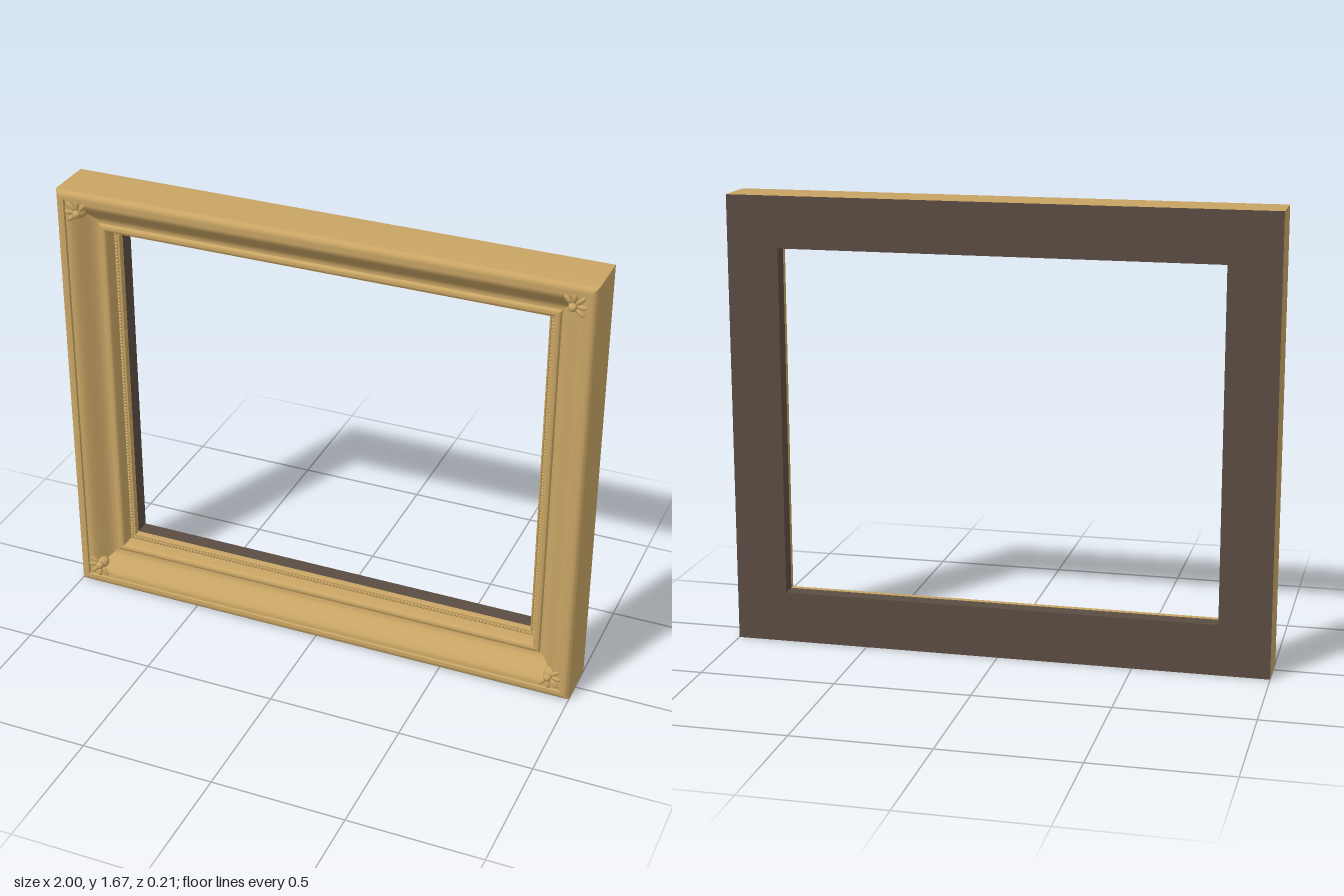
import * as THREE from 'three';
import { toCreasedNormals, mergeGeometries } from 'three/addons/utils/BufferGeometryUtils.js';

const HEIGHT = 1.675, BACK = -0.104, WIDTH = 0.19;

// Corners of the rectangle lying d inside the outer edge, counter-clockwise
const corners = (d) => [
  [-1 + d, d], [1 - d, d], [1 - d, HEIGHT - d], [-1 + d, HEIGHT - d],
];

// One mitred rail: the profile [inset, z] swept along one side of the frame
function railGeometry(profile, side) {
  const pos = [];
  const next = (side + 1) % 4;
  for (let j = 0; j < profile.length - 1; j++) {
    const [d0, z0] = profile[j], [d1, z1] = profile[j + 1];
    const p = corners(d0), q = corners(d1);
    const a = [...p[side], z0], b = [...p[next], z0];
    const c = [...q[next], z1], d = [...q[side], z1];
    pos.push(...a, ...b, ...c, ...a, ...c, ...d);
  }
  const g = new THREE.BufferGeometry();
  g.setAttribute('position', new THREE.Float32BufferAttribute(pos, 3));
  return toCreasedNormals(g, 0.6);
}

// Moulding section, from the outer back edge over the front to the opening
function mouldingProfile() {
  const pts = [[0, BACK], [0, 0.072]];
  const arc = (d, z, rd, rz, from, to, n) => {
    for (let i = 0; i <= n; i++) {
      const t = from + (to - from) * i / n;
      pts.push([d - rd * Math.cos(t), z + rz * Math.sin(t)]);
    }
  };
  arc(0.022, 0.072, 0.022, 0.022, 0.2, Math.PI / 2, 6); // rounded rim
  pts.push([0.034, 0.093], [0.036, 0.085], [0.042, 0.085]);
  for (let i = 1; i <= 16; i++) { // ogee
    const t = i / 16;
    pts.push([0.042 + 0.09 * t, 0.0525 + 0.0325 * Math.cos(Math.PI * t)]);
  }
  pts.push([0.136, 0.02], [0.137, 0.024]);
  arc(0.15, 0.024, 0.013, 0.008, 0.3, Math.PI - 0.3, 8); // inner round
  pts.push([0.165, 0.012], [0.167, -0.024], [0.183, -0.024], [0.184, -0.02],
    [0.189, -0.02], [WIDTH, -0.024], [WIDTH, -0.045]);
  return pts;
}

// Row of small beads round the opening
function beadGeometry() {
  const beads = [];
  const c = corners(0.1755);
  for (let s = 0; s < 4; s++) {
    const [x0, y0] = c[s], [x1, y1] = c[(s + 1) % 4];
    const n = Math.round(Math.hypot(x1 - x0, y1 - y0) / 0.0135);
    for (let i = 0; i < n; i++) {
      const t = i / n;
      const bead = new THREE.SphereGeometry(0.0065, 8, 6);
      bead.translate(x0 + (x1 - x0) * t, y0 + (y1 - y0) * t, -0.021);
      beads.push(bead);
    }
  }
  return mergeGeometries(beads);
}

// Corner flower, its leaves fanned about +x
function cornerOrnament(material) {
  const group = new THREE.Group();
  const add = (name, geometry) => {
    const mesh = new THREE.Mesh(geometry, material);
    mesh.name = name;
    group.add(mesh);
    return mesh;
  };
  add('ornamentBase', new THREE.SphereGeometry(0.024, 16, 10)).position.z = 0.058;
  add('ornamentBoss', new THREE.SphereGeometry(0.015, 16, 10)).position.z = 0.089;
  for (let i = -2; i <= 2; i++) {
    const leaf = new THREE.SphereGeometry(1, 12, 8);
    const length = i === 0 ? 0.024 : 0.021;
    leaf.scale(length, 0.009, 0.007);
    leaf.translate(0.01 + length, 0, 0);
    leaf.rotateY(-0.12);
    leaf.rotateZ(i * 0.72);
    leaf.translate(0, 0, 0.08);
    add('ornamentLeaf', leaf);
  }
  return group;
}

export function createModel() {
  const gold = new THREE.MeshStandardMaterial({ color: 0xc8a464 });
  gold.name = 'gold';
  const brown = new THREE.MeshStandardMaterial({ color: 0x5a4c42 });
  brown.name = 'darkWood';

  const model = new THREE.Group();
  model.name = 'pictureFrame';

  // Mitred gold rails with the brown back and opening wall
  const front = mouldingProfile();
  const rear = [[WIDTH, -0.045], [WIDTH, BACK], [0, BACK]];
  ['bottom', 'left', 'top', 'right'].forEach((name, side) => {
    const rail = new THREE.Mesh(railGeometry(front, side), gold);
    rail.name = name + 'Rail';
    const back = new THREE.Mesh(railGeometry(rear, side), brown);
    back.name = name + 'Back';
    model.add(rail, back);
  });

  const beads = new THREE.Mesh(beadGeometry(), gold);
  beads.name = 'beading';
  model.add(beads);

  // Flowers in the four corners, pointing outward
  corners(0.083).forEach(([x, y], i) => {
    const ornament = cornerOrnament(gold);
    ornament.name = 'cornerOrnament';
    ornament.position.set(x, y, 0);
    ornament.rotation.z = Math.PI * (1.25 + i * 0.5);
    model.add(ornament);
  });

  return model;
}
